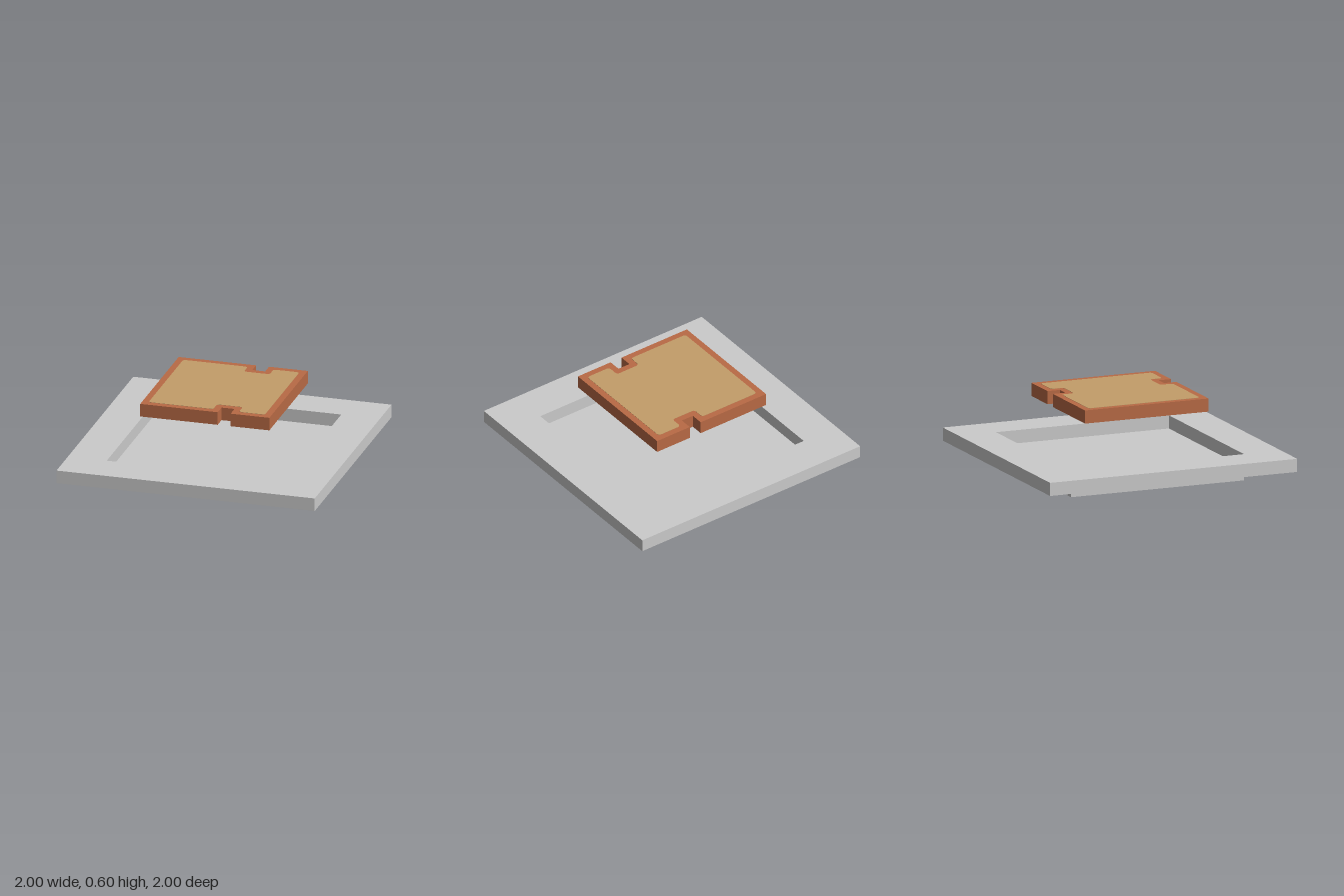
import * as THREE from 'three';

const mat = (name, color) => {
  const m = new THREE.MeshStandardMaterial({ color });
  m.name = name;
  return m;
};

// Notched square outline; every corner is rounded by r (0 keeps it sharp)
function notchedShape(inset, r) {
  const h = 0.5 - inset, a = 0.1 - inset, b = 0.2 + inset, d = 0.4 - inset;
  const half = [[h, h], [b, h], [b, d], [a, d], [a, h], [-h, h]];
  const mirrored = half.map(([x, y]) => [x, -y]).reverse();
  const pts = [...half, ...mirrored].map(([x, y]) => new THREE.Vector2(x, y));
  const shape = new THREE.Shape();
  pts.forEach((p, i) => {
    const prev = pts[(i + pts.length - 1) % pts.length];
    const next = pts[(i + 1) % pts.length];
    const start = p.clone().add(prev.clone().sub(p).setLength(r));
    const end = p.clone().add(next.clone().sub(p).setLength(r));
    if (i === 0) shape.moveTo(start.x, start.y);
    else shape.lineTo(start.x, start.y);
    if (r > 0) shape.quadraticCurveTo(p.x, p.y, end.x, end.y);
  });
  shape.closePath();
  return shape;
}

function squarePath(path, h) {
  path.moveTo(-h, -h);
  path.lineTo(h, -h);
  path.lineTo(h, h);
  path.lineTo(-h, h);
  path.closePath();
  return path;
}

// Extrude a ground-plan outline upwards from height y
function slab(name, shape, y, depth, material) {
  const geo = new THREE.ExtrudeGeometry(shape, { depth, bevelEnabled: false, curveSegments: 4 });
  geo.rotateX(-Math.PI / 2);
  geo.translate(0, y, 0);
  const mesh = new THREE.Mesh(geo, material);
  mesh.name = name;
  return mesh;
}

export function createModel() {
  const grey = mat('light grey', 0xcbcbcb);
  const rust = mat('rust orange', 0xb96a45);
  const tan = mat('tan', 0xc39d69);
  const model = new THREE.Group();
  model.name = 'notchedPlateOverTray';

  // Tray: square frame around a recess, standing on a smaller base block
  const frame = squarePath(new THREE.Shape(), 1);
  frame.holes.push(squarePath(new THREE.Path(), 0.7));
  model.add(slab('trayFrame', frame, 0.1, 0.1, grey));
  model.add(slab('trayBase', squarePath(new THREE.Shape(), 0.7), 0, 0.1, grey));

  // Floating plate with a notch in its front and back edges
  model.add(slab('plate', notchedShape(0, 0), 0.5, 0.1, rust));

  // Thin inlay that follows the plate outline
  model.add(slab('plateInlay', notchedShape(0.05, 0.025), 0.599, 0.003, tan));

  return model;
}
